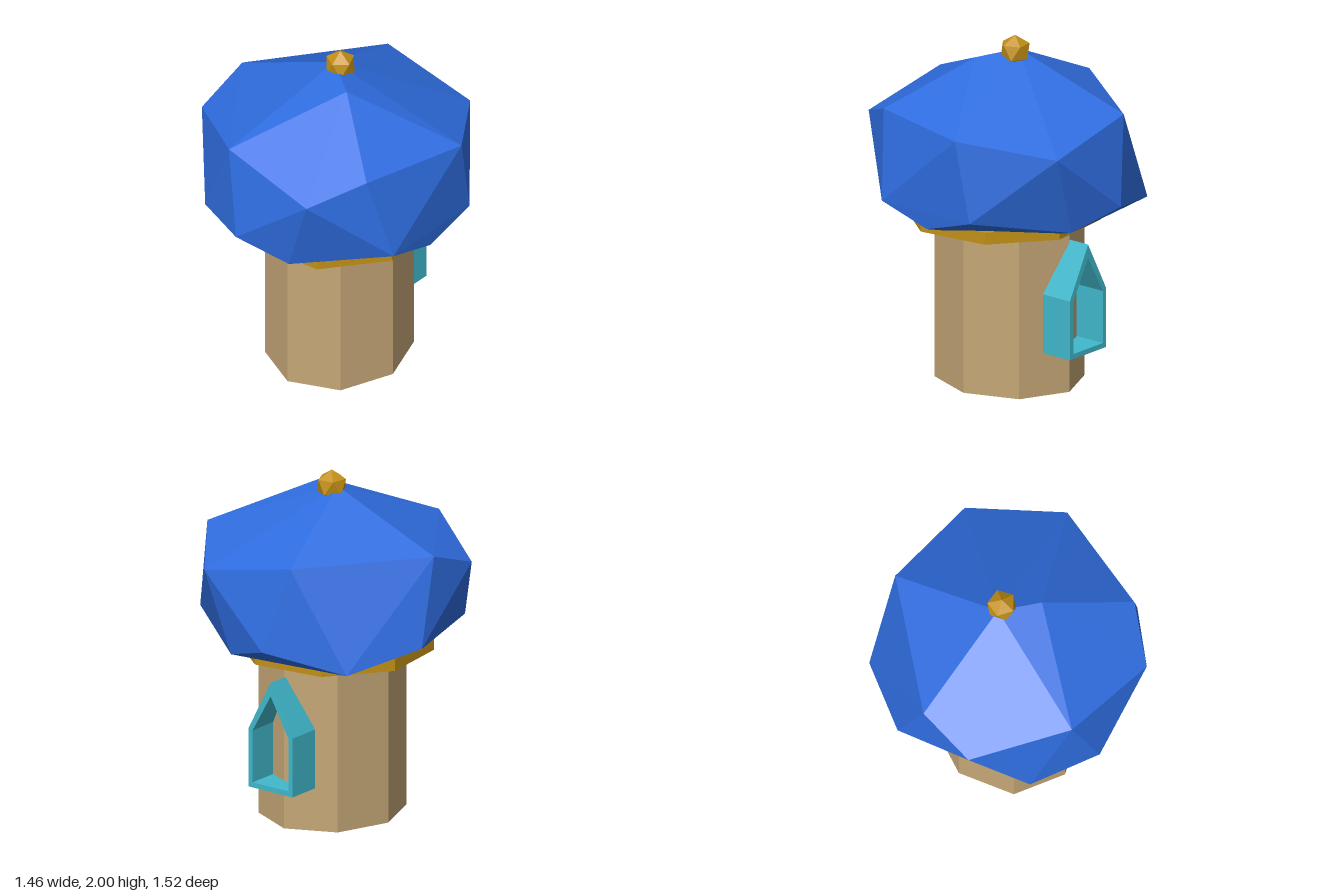
import * as THREE from 'three';
import { ConvexGeometry } from 'three/addons/geometries/ConvexGeometry.js';

const paint = (color) => new THREE.MeshStandardMaterial({ color, flatShading: true });
const STONE = paint(0xc4a676), ROOF = paint(0x2f6de0), GOLD = paint(0xc29016), FRAME = paint(0x40b8cc);

function part(name, geometry, material, x = 0, y = 0, z = 0) {
  const mesh = new THREE.Mesh(geometry, material);
  mesh.name = name;
  mesh.position.set(x, y, z);
  return mesh;
}

// Pointed-arch outline: straight sides up to a shoulder, then a peak
const arch = (Type, half, bottom, shoulder, peak) => new Type([
  [-half, bottom], [half, bottom], [half, shoulder], [0, peak], [-half, shoulder],
].map(([x, y]) => new THREE.Vector2(x, y)));

export function createModel() {
  const group = new THREE.Group();

  // Eight-sided tower, slightly deeper than wide
  const tower = part('tower', new THREE.CylinderGeometry(1, 1, 1, 8), STONE, 0.013, 0.49, -0.018);
  tower.scale.set(0.395, 0.98, 0.437);
  group.add(tower);

  // Gold collar under the roof
  const collar = part('collar', new THREE.CylinderGeometry(0.555, 0.555, 0.07, 8), GOLD, 0.025, 0.98, 0.02);
  collar.rotation.y = THREE.MathUtils.degToRad(30);
  group.add(collar);

  // Faceted bulbous roof, ring by ring from the crown down
  const roofPoints = [
    [-0.04, 1.91, -0.04], [0.17, 1.88, 0.10],
    [-0.69, 1.62, 0], [-0.20, 1.62, 0.67], [0.59, 1.62, 0.41], [0.73, 1.60, -0.23], [-0.20, 1.62, -0.67],
    [0.39, 1.50, 0.69], [-0.69, 1.50, 0.34], [0.39, 1.50, -0.69],
    [0.71, 1.13, 0.32], [0.71, 1.13, -0.32], [-0.07, 1.13, 0.76], [-0.07, 1.13, -0.76], [-0.73, 1.13, -0.16],
    [-0.45, 1.08, 0.585], [-0.52, 1.035, -0.57],
    [0.70, 1.03, 0], [0.23, 1.03, 0.655], [0.23, 1.03, -0.655],
    [0.57, 0.99, 0], [0.18, 0.99, 0.54], [0.18, 0.99, -0.54], [-0.31, 1.0, 0.48], [-0.38, 1.0, -0.42],
  ].map((p) => new THREE.Vector3(...p));
  group.add(part('roof', new ConvexGeometry(roofPoints), ROOF));

  // Finial: a polyhedron standing on one corner
  const ball = new THREE.IcosahedronGeometry(0.09, 0);
  ball.rotateZ(-Math.atan(2 / (1 + Math.sqrt(5))));
  ball.rotateY(THREE.MathUtils.degToRad(-11));
  group.add(part('finial', ball, GOLD, -0.003, 1.91, -0.045));

  // Pointed door frame on the back, open to the wall behind
  const outline = arch(THREE.Shape, 0.155, 0.25, 0.595, 0.89);
  outline.holes.push(arch(THREE.Path, 0.127, 0.28, 0.585, 0.81));
  const frame = new THREE.ExtrudeGeometry(outline, { depth: 0.2, bevelEnabled: false });
  group.add(part('doorFrame', frame, FRAME, 0.005, 0, -0.585));

  return group;
}
